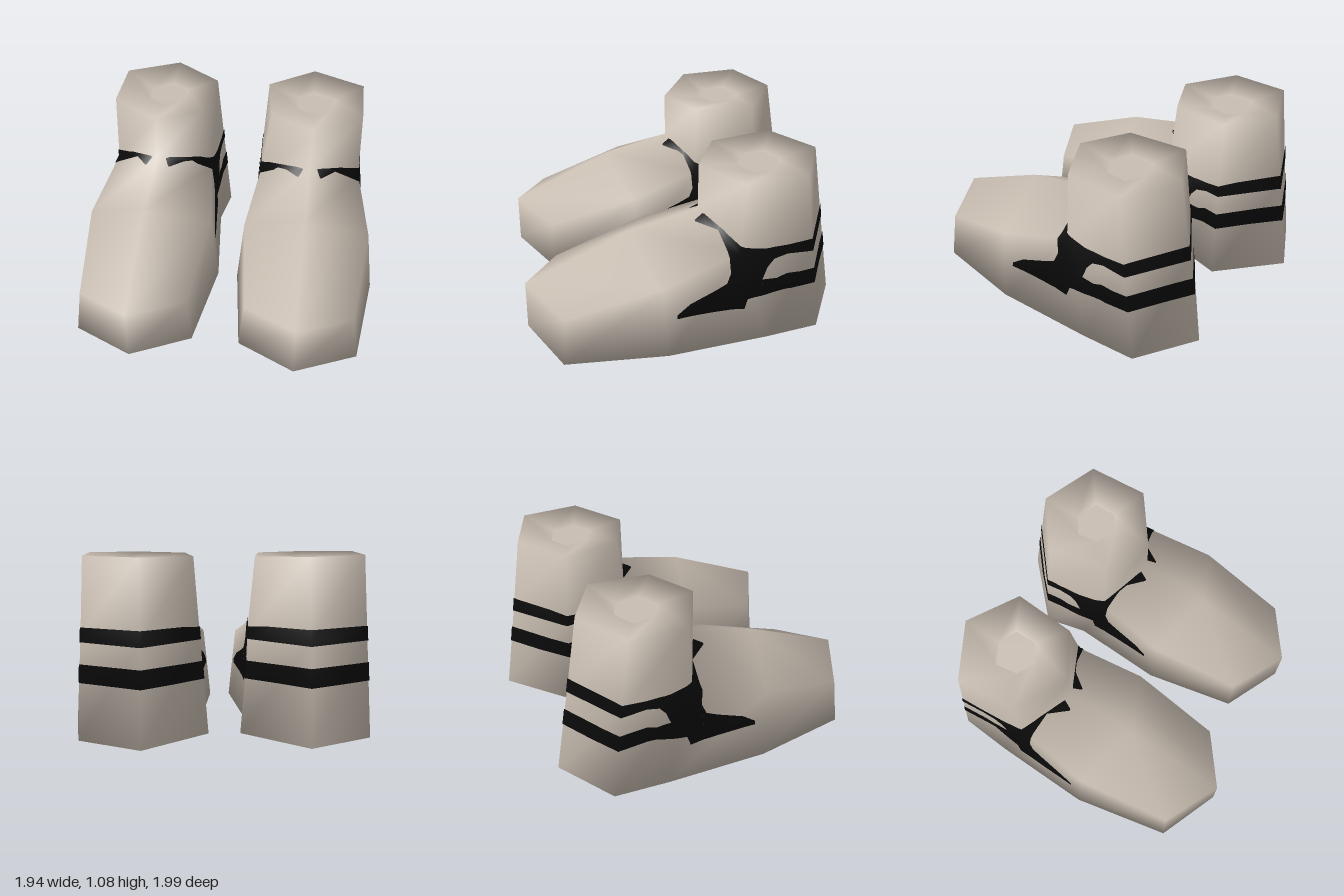
import * as THREE from 'three';

const beige = new THREE.MeshStandardMaterial({ color: 0xc8bdb1 });
beige.name = 'beige';
const black = new THREE.MeshStandardMaterial({ color: 0x0b0b0b });
black.name = 'black';

// Cross-section loops of the left shoe, running toe -> outer side -> heel -> inner side
const sole = [
  [0.51, 0.02, 0.99], [0.89, 0.0, 0.8], [0.97, 0.03, 0.18], [0.905, 0.02, -0.45], [0.855, 0.015, -0.79],
  [0.48, 0.02, -1.0], [0.095, 0.015, -0.68], [0.135, 0.03, -0.4], [0.065, 0.03, 0.2], [0.15, 0.0, 0.79],
];
const upper = [
  [0.51, 0.35, 0.98], [0.85, 0.3, 0.78], [0.915, 0.48, 0.2], [0.83, 0.62, -0.27], [0.835, 0.62, -0.715],
  [0.48, 0.62, -0.897], [0.145, 0.62, -0.65], [0.17, 0.62, -0.23], [0.11, 0.48, 0.2], [0.18, 0.3, 0.77],
];
const ridge = [[0.51, 0.65, 0.34], [0.51, 0.76, -0.09]]; // instep, ankle front
const rim = [
  [0.51, 1.055, -0.09], [0.82, 1.07, -0.29], [0.82, 1.08, -0.66],
  [0.48, 1.083, -0.82], [0.18, 1.07, -0.62], [0.23, 1.06, -0.24],
];
const opening = [[0.51, -0.33], [0.61, -0.39], [0.62, -0.53], [0.49, -0.59], [0.38, -0.53], [0.39, -0.39]]
  .map(([x, z]) => [x, 1.03, z]);

// Index offsets of the loops in the shared point list
const U = 10, M = 20, K = 21, R = 22, O = 28;
const ankle = [K, U + 3, U + 4, U + 5, U + 6, U + 7];

// Stripe strands in side projection, as columns [z, top, bottom]
const strands = [
  [[-0.06, 0.715, 0.71], [-0.12, 0.745, 0.7], [-0.18, 0.72, 0.69], [-0.205, 0.71, 0.62], [-0.215, 0.7, 0.5]],
  [[0.12, 0.3, 0.275], [0.04, 0.355, 0.275], [-0.12, 0.41, 0.27], [-0.19, 0.44, 0.265], [-0.215, 0.5, 0.265]],
  [[-0.215, 0.7, 0.265], [-0.3, 0.655, 0.25], [-0.32, 0.65, 0.31], [-0.41, 0.635, 0.32]],
  [[-0.41, 0.635, 0.43], [-0.44, 0.635, 0.51], [-0.48, 0.64, 0.56], [-0.56, 0.645, 0.585],
    [-0.72, 0.67, 0.585], [-1.05, 0.685, 0.585]],
  [[-0.41, 0.43, 0.32], [-0.5, 0.43, 0.34], [-0.56, 0.455, 0.35], [-1.05, 0.465, 0.355]],
];

function bodyGeometry(side) {
  const points = [...sole, ...upper, ...ridge, ...rim, ...opening].map(([x, y, z]) => [x * side, y, z]);
  const faces = [
    // underside
    [0, 9, 1], [9, 8, 2, 1], [8, 7, 3, 2], [7, 6, 4, 3], [6, 5, 4],
    // top of the foot
    [U, U + 1, U + 2, M], [M, U + 2, U + 3, K], [K, U + 7, U + 8, M], [M, U + 8, U + 9, U],
  ];
  // side walls
  for (let i = 0; i < 10; i++) {
    const j = (i + 1) % 10;
    faces.push([i, j, U + j, U + i]);
  }
  // ankle walls and sunken top
  for (let i = 0; i < 6; i++) {
    const j = (i + 1) % 6;
    faces.push([ankle[i], ankle[j], R + j, R + i], [R + i, R + j, O + j, O + i]);
  }
  const index = [];
  for (const f of faces) {
    const loop = side > 0 ? f : [...f].reverse();
    for (let k = 1; k < loop.length - 1; k++) index.push(loop[0], loop[k], loop[k + 1]);
  }
  const geo = new THREE.BufferGeometry();
  geo.setAttribute('position', new THREE.Float32BufferAttribute(points.flat(), 3));
  geo.setIndex(index);
  geo.computeVertexNormals();
  return geo;
}

// Flat hexagon closing the ankle opening
function capGeometry(side) {
  const geo = new THREE.BufferGeometry();
  const pts = opening.map(([x, y, z]) => [x * side, y, z]);
  if (side < 0) pts.reverse();
  geo.setAttribute('position', new THREE.Float32BufferAttribute(pts.flat(), 3));
  geo.setIndex([0, 1, 2, 0, 2, 3, 0, 3, 4, 0, 4, 5]);
  geo.computeVertexNormals();
  return geo;
}

// Clip a polygon of [x, y, z, nx, ny, nz] points to a convex clockwise outline in (z, y)
function clip(poly, outline) {
  outline.forEach(([az, ay], i) => {
    const [bz, by] = outline[(i + 1) % outline.length];
    const dist = (p) => (by - ay) * (p[2] - az) - (bz - az) * (p[1] - ay);
    const out = [];
    poly.forEach((p, k) => {
      const q = poly[(k + 1) % poly.length];
      const dp = dist(p), dq = dist(q);
      if (dp >= 0) out.push(p);
      if ((dp >= 0) !== (dq >= 0)) out.push(p.map((v, c) => v + (q[c] - v) * dp / (dp - dq)));
    });
    poly = out;
  });
  return poly;
}

// Lay the stripe strands over the body as a thin skin
function stripeGeometry(body) {
  const pos = body.attributes.position, nor = body.attributes.normal, index = body.index.array;
  const position = [], normal = [];
  const corner = (i) => [pos.getX(i), pos.getY(i), pos.getZ(i), nor.getX(i), nor.getY(i), nor.getZ(i)];
  for (let t = 0; t < index.length; t += 3) {
    const tri = [corner(index[t]), corner(index[t + 1]), corner(index[t + 2])];
    for (const strand of strands) {
      for (let s = 0; s < strand.length - 1; s++) {
        const [z0, t0, b0] = strand[s], [z1, t1, b1] = strand[s + 1];
        const piece = clip(tri, [[z0, t0], [z0, b0], [z1, b1], [z1, t1]]);
        for (let k = 1; k < piece.length - 1; k++) {
          for (const p of [piece[0], piece[k], piece[k + 1]]) {
            const n = new THREE.Vector3(p[3], p[4], p[5]).normalize();
            position.push(p[0] + n.x * 0.005, p[1] + n.y * 0.005, p[2] + n.z * 0.005);
            normal.push(n.x, n.y, n.z);
          }
        }
      }
    }
  }
  const geo = new THREE.BufferGeometry();
  geo.setAttribute('position', new THREE.Float32BufferAttribute(position, 3));
  geo.setAttribute('normal', new THREE.Float32BufferAttribute(normal, 3));
  return geo;
}

export function createModel() {
  const model = new THREE.Group();
  model.name = 'shoes';
  for (const side of [1, -1]) {
    const shoe = new THREE.Group();
    shoe.name = side > 0 ? 'leftShoe' : 'rightShoe';
    const body = bodyGeometry(side);
    const add = (name, geo, mat) => {
      const mesh = new THREE.Mesh(geo, mat);
      mesh.name = name;
      shoe.add(mesh);
    };
    add('shoeBody', body, beige);
    add('ankleCap', capGeometry(side), beige);
    add('stripes', stripeGeometry(body), black);
    model.add(shoe);
  }
  return model;
}
